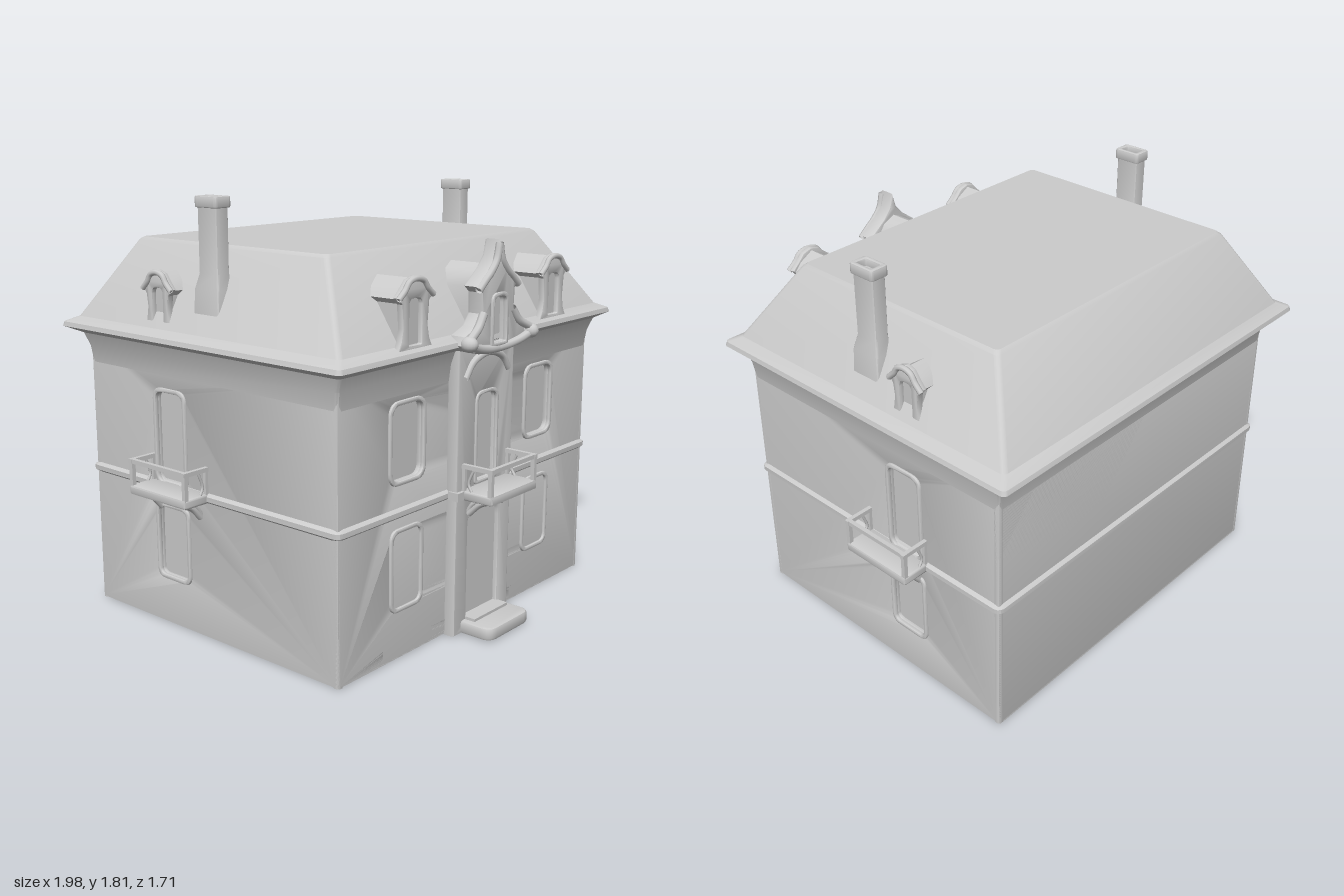
import * as THREE from 'three';
import { toCreasedNormals } from 'three/addons/utils/BufferGeometryUtils.js';

const material = new THREE.MeshStandardMaterial({ color: 0xcccccc, side: THREE.DoubleSide });
const V = (x, y, z) => new THREE.Vector3(x, y, z);

function add(parent, name, geometry, x = 0, y = 0, z = 0) {
  const mesh = new THREE.Mesh(geometry, material);
  mesh.name = name;
  mesh.position.set(x, y, z);
  parent.add(mesh);
  return mesh;
}

const box = (parent, name, w, h, d, x, y, z) => add(parent, name, new THREE.BoxGeometry(w, h, d), x, y, z);

function tube(parent, name, points, radius) {
  const curve = new THREE.CatmullRomCurve3(points);
  return add(parent, name, new THREE.TubeGeometry(curve, points.length * 6, radius, 8));
}

// Rounded rectangle, usable as shape or hole; rt and rb are the top and bottom radii
function rounded(x0, x1, y0, y1, rt = 0, rb = rt) {
  const s = new THREE.Shape();
  s.moveTo(x0 + rb, y0);
  s.lineTo(x1 - rb, y0);
  if (rb) s.quadraticCurveTo(x1, y0, x1, y0 + rb);
  s.lineTo(x1, y1 - rt);
  if (rt) s.quadraticCurveTo(x1, y1, x1 - rt, y1);
  s.lineTo(x0 + rt, y1);
  if (rt) s.quadraticCurveTo(x0, y1, x0, y1 - rt);
  s.lineTo(x0, y0 + rb);
  if (rb) s.quadraticCurveTo(x0, y0, x0 + rb, y0);
  return s;
}

// Symmetric shape from the right half of its outline, top to bottom
function symmetric(half) {
  const left = half.filter(p => p[0] > 0).reverse().map(([x, y]) => [-x, y]);
  return new THREE.Shape([...half, ...left].map(([x, y]) => new THREE.Vector2(x, y)));
}

// Extrusion whose front face lies on z = 0 and which runs back by depth
function slab(shape, depth, bevel = 0.008) {
  const geometry = new THREE.ExtrudeGeometry(shape, {
    depth: depth - 2 * bevel, bevelEnabled: bevel > 0, bevelSize: bevel, bevelThickness: bevel,
    bevelOffset: -bevel, bevelSegments: 2, curveSegments: 6,
  });
  geometry.translate(0, 0, bevel - depth);
  return toCreasedNormals(geometry, 0.6);
}

// Loft of rounded rectangles; each level is [y, halfWidth, front, back]
function loft(levels, radius = 0.03) {
  const positions = [], index = [];
  const n = 16;
  for (const [y, hx, zf, zb] of levels) {
    for (let i = 0; i < n; i++) {
      const corner = Math.floor(i / 4), a = (corner + (i % 4) / 3) * Math.PI / 2;
      const right = corner === 0 || corner === 3, front = corner < 2;
      positions.push((right ? hx - radius : radius - hx) + radius * Math.cos(a), y,
        (front ? zf - radius : zb + radius) + radius * Math.sin(a));
    }
  }
  for (let j = 0; j < levels.length - 1; j++) {
    for (let i = 0; i < n; i++) {
      const a = j * n + i, b = j * n + (i + 1) % n;
      index.push(a, a + n, b, b, a + n, b + n);
    }
  }
  const top = (levels.length - 1) * n;
  for (let i = 1; i < n - 1; i++) {
    index.push(0, i, i + 1, top, top + i + 1, top + i);
  }
  const geometry = new THREE.BufferGeometry();
  geometry.setAttribute('position', new THREE.Float32BufferAttribute(positions, 3));
  geometry.setIndex(index);
  return toCreasedNormals(geometry, 0.5);
}

// Wall panel with recessed openings [x0, x1, y0, y1, radius] and raised frames
function wall(parent, name, x0, x1, y1, openings, z, depth = 0.03) {
  const shape = rounded(x0, x1, 0.01, y1);
  for (const o of openings) {
    shape.holes.push(rounded(...o));
    const [a, b, c, d, r] = o;
    const frame = rounded(a - 0.018, b + 0.018, c - 0.018, d + 0.018, r + 0.015);
    frame.holes.push(rounded(...o));
    if (c > 0.1) add(parent, 'windowFrame', slab(frame, 0.02, 0.005), 0, 0, z + 0.011);
  }
  add(parent, name, slab(shape, depth), 0, 0, z);
}

// Balcony facing +z with its back on z = 0 and its floor at y = 0
function balcony(w, d) {
  const g = new THREE.Group();
  g.name = 'balcony';
  add(g, 'balconyFloor', slab(rounded(-w / 2, w / 2, 0, 0.04, 0.01), d + 0.01), 0, 0, d);
  box(g, 'frontRail', w, 0.018, 0.018, 0, 0.142, d - 0.012);
  for (const s of [-1, 1]) {
    const x = s * (w / 2 - 0.01);
    box(g, 'cornerPost', 0.018, 0.12, 0.018, x, 0.09, d - 0.012);
    box(g, 'sideRail', 0.018, 0.018, d, x, 0.142, d / 2);
    box(g, 'wallPost', 0.014, 0.12, 0.014, x, 0.09, 0.008);
    tube(g, 'railScroll', [V(x, 0.04, d * 0.3), V(x, 0.07, d * 0.2), V(x, 0.13, d * 0.35)], 0.006);
    const bx = s * (w / 2 - 0.05);
    tube(g, 'bracket', [V(bx, 0.005, d * 0.8), V(bx, -0.02, d * 0.4), V(bx, -0.07, 0.005)], 0.013);
    tube(g, 'bracketBrace', [V(bx, 0, d * 0.4), V(bx, -0.03, 0.02), V(bx, -0.06, 0)], 0.01);
  }
  return g;
}

// Small dormer facing +z, front face on z = 0
function dormer(y0, h, w, depth) {
  const g = new THREE.Group();
  g.name = 'dormer';
  const o = w / 2;
  const shape = symmetric([[0, y0 + h], [o * 0.4, y0 + h - 0.012], [o * 0.7, y0 + h - 0.045], [o, y0 + h - 0.075],
    [o * 0.78, y0 + h - 0.1], [o * 0.7, y0 + 0.09], [o * 0.8, y0 + 0.04], [o, y0]]);
  const bottom = y0 + h * 0.07, top = y0 + h * 0.7;
  shape.holes.push(rounded(-o * 0.36, o * 0.36, bottom, top, 0.025, 0.005));
  add(g, 'dormerFront', slab(shape, 0.03, 0.006));
  add(g, 'dormerBody', slab(symmetric([[0, y0 + h - 0.01], [o * 0.6, y0 + h - 0.045], [o * 0.9, y0 + h - 0.08],
    [o * 0.68, y0 + h - 0.1], [o * 0.68, y0]]), depth - 0.02, 0), 0, 0, -0.02);
  tube(g, 'dormerHood', [V(-o, y0 + h - 0.08, 0), V(-o * 0.65, y0 + h - 0.05, 0), V(-o * 0.4, y0 + h - 0.02, 0),
    V(0, y0 + h - 0.01, 0), V(o * 0.4, y0 + h - 0.02, 0), V(o * 0.65, y0 + h - 0.05, 0), V(o, y0 + h - 0.08, 0)], 0.012);
  return g;
}

export function createModel() {
  const house = new THREE.Group();
  house.name = 'house';

  // Body core, belt course and roof with its coved eaves
  box(house, 'bodyCore', 1.68, 1.22, 1.385, 0, 0.62, -0.0675);
  add(house, 'backWall', slab(rounded(-0.86, 0.86, 0.01, 1.2), 0.03), 0, 0, -0.73);
  add(house, 'beltCourse', loft([[0.595, 0.855, 0.645, -0.755], [0.61, 0.875, 0.665, -0.775],
    [0.63, 0.875, 0.665, -0.775], [0.645, 0.855, 0.645, -0.755]]));
  add(house, 'roof', loft([[1.08, 0.859, 0.649, -0.759], [1.16, 0.868, 0.66, -0.77], [1.215, 0.885, 0.68, -0.79],
    [1.243, 0.94, 0.73, -0.86], [1.262, 0.935, 0.725, -0.855], [1.285, 0.885, 0.68, -0.81],
    [1.61, 0.705, 0.465, -0.615], [1.622, 0.69, 0.45, -0.6]], 0.02));

  // Front wall with windows and cellar openings
  const frontOpenings = [];
  for (const x of [-0.46, 0.46]) {
    frontOpenings.push([x - 0.095, x + 0.095, 0.75, 1.05, 0.045], [x - 0.085, x + 0.085, 0.23, 0.54, 0.035]);
  }
  for (const x of [-0.44, 0.44]) frontOpenings.push([x - 0.15, x + 0.15, 0.025, 0.07, 0.008]);
  wall(house, 'frontWall', -0.86, 0.86, 1.2, frontOpenings, 0.65);

  // Central entrance bay
  box(house, 'bayCore', 0.37, 1.22, 0.08, 0, 0.62, 0.64);
  const bay = rounded(-0.195, 0.195, 0.01, 1.24);
  bay.holes.push(rounded(-0.065, 0.065, 0.66, 1.02, 0.04, 0.01), rounded(-0.11, 0.11, 0.06, 0.55, 0.08, 0.01));
  add(house, 'bayWall', slab(bay, 0.06, 0.01), 0, 0, 0.7);
  const bayFrame = rounded(-0.08, 0.08, 0.645, 1.035, 0.05, 0.015);
  bayFrame.holes.push(rounded(-0.065, 0.065, 0.66, 1.02, 0.04, 0.01));
  add(house, 'bayWindowFrame', slab(bayFrame, 0.015, 0.004), 0, 0, 0.708);
  box(house, 'bayBelt', 0.41, 0.035, 0.05, 0, 0.62, 0.69);
  tube(house, 'bayArch', [V(-0.15, 1.1, 0.698), V(-0.1, 1.16, 0.7), V(0, 1.19, 0.705), V(0.1, 1.16, 0.7),
    V(0.15, 1.1, 0.698)], 0.016);
  const step = slab(rounded(-0.15, 0.15, -0.85, -0.66, 0, 0.05), 0.055, 0.012);
  step.rotateX(-Math.PI / 2);
  add(house, 'entranceStep', step, 0, 0.068, 0);
  box(house, 'upperStep', 0.24, 0.03, 0.08, 0, 0.065, 0.71);

  // Front balcony and dormers
  const frontBalcony = balcony(0.33, 0.15);
  frontBalcony.position.set(0, 0.6, 0.7);
  house.add(frontBalcony);
  for (const x of [-0.48, 0.48]) {
    const d = dormer(1.265, 0.28, 0.21, 0.24);
    d.position.set(x, 0, 0.705);
    house.add(d);
  }

  // Central ornate gable
  const outline = [[0, 1.645], [0.02, 1.58], [0.06, 1.535], [0.1, 1.505], [0.145, 1.47], [0.115, 1.445], [0.11, 1.36],
    [0.15, 1.315], [0.23, 1.285], [0.245, 1.25], [0.22, 1.225], [0.12, 1.2], [0, 1.19]];
  const gable = symmetric(outline);
  gable.holes.push(rounded(-0.042, 0.042, 1.235, 1.42, 0.03, 0.005));
  add(house, 'gableFront', slab(gable, 0.075, 0.01), 0, 0, 0.75);
  add(house, 'gableBody', slab(symmetric([[0, 1.545], [0.06, 1.52], [0.1, 1.46], [0.1, 1.22]]), 0.27, 0), 0, 0, 0.725);
  const windowTrim = rounded(-0.058, 0.058, 1.22, 1.436, 0.04, 0.01);
  windowTrim.holes.push(rounded(-0.042, 0.042, 1.235, 1.42, 0.03, 0.005));
  add(house, 'gableWindowFrame', slab(windowTrim, 0.02, 0.004), 0, 0, 0.76);
  for (const s of [-1, 1]) {
    tube(house, 'gableEdge', outline.slice(0, 5).map(([x, y]) => V(s * x * 0.95, y - 0.015, 0.745)), 0.016);
    tube(house, 'gableScroll', [V(s * 0.1, 1.36, 0.745), V(s * 0.14, 1.31, 0.75), V(s * 0.22, 1.26, 0.765),
      V(s * 0.17, 1.235, 0.76), V(s * 0.08, 1.215, 0.75), V(0, 1.21, 0.745)], 0.018);
    const scrollEnd = add(house, 'scrollEnd', new THREE.SphereGeometry(0.032, 16, 10), s * 0.215, 1.255, 0.76);
    scrollEnd.scale.z = 1.2;
  }

  // Both sides: wall, balcony, dormer and chimney
  for (const s of [-1, 1]) {
    const side = new THREE.Group();
    side.name = s > 0 ? 'leftSide' : 'rightSide';
    side.rotation.y = s * Math.PI / 2;
    house.add(side);
    const c = s * 0.26;
    wall(side, 'sideWall', Math.min(-s * 0.65, s * 0.76), Math.max(-s * 0.65, s * 0.76), 1.2,
      [[c - 0.08, c + 0.08, 0.64, 1.02, 0.035], [c - 0.085, c + 0.085, 0.23, 0.53, 0.03]], 0.86);
    const b = balcony(0.34, 0.13);
    b.position.set(s * 0.21, 0.6, 0.86);
    side.add(b);
    const d = dormer(1.28, 0.24, 0.17, 0.14);
    d.position.set(s * 0.305, 0, 0.87);
    side.add(d);

    const chimney = new THREE.Group();
    chimney.name = 'chimney';
    chimney.position.set(s * 0.79, 0, -0.052);
    house.add(chimney);
    add(chimney, 'chimneyShaft', loft([[1.3, 0.055, 0.075, -0.075], [1.46, 0.048, 0.068, -0.068],
      [1.52, 0.035, 0.053, -0.053], [1.79, 0.035, 0.054, -0.054]], 0.012));
    const cap = rounded(-0.042, 0.042, -0.062, 0.062, 0.014);
    cap.holes.push(rounded(-0.022, 0.022, -0.04, 0.04, 0.008));
    const capGeometry = slab(cap, 0.045, 0.006);
    capGeometry.rotateX(-Math.PI / 2);
    add(chimney, 'chimneyCap', capGeometry, 0, 1.82, 0);
  }
  return house;
}
